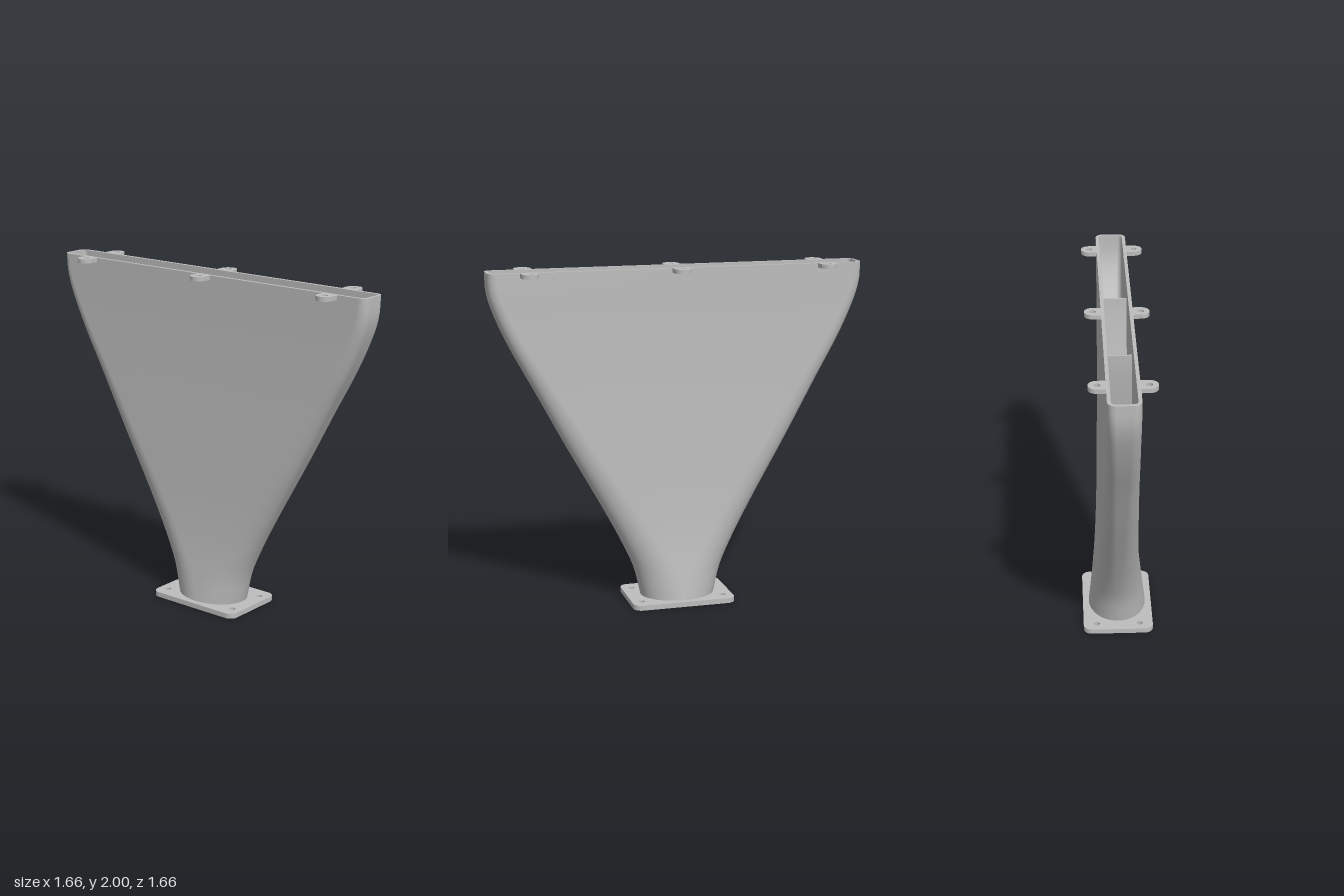
import * as THREE from 'three';
import { toCreasedNormals } from 'three/addons/utils/BufferGeometryUtils.js';

const WALL = 0.02;
const BASE_U = 0.223, BASE_V = 0.174; // half axes of the oval base opening

// Skin a stack of closed rings of equal length; optional flat end caps
function loft(rings, capped = false) {
  const n = rings[0].length, index = [];
  const positions = rings.flat().flatMap((p) => [p.x, p.y, p.z]);
  for (let i = 0; i < rings.length - 1; i++) {
    for (let j = 0; j < n; j++) {
      const a = i * n + j, b = i * n + (j + 1) % n;
      index.push(a, a + n, b, b, a + n, b + n);
    }
  }
  if (capped) {
    const top = (rings.length - 1) * n;
    for (let j = 1; j < n - 1; j++) {
      index.push(0, j, j + 1, top, top + j + 1, top + j);
    }
  }
  const geometry = new THREE.BufferGeometry();
  geometry.setAttribute('position', new THREE.Float32BufferAttribute(positions, 3));
  geometry.setIndex(index);
  geometry.computeVertexNormals();
  return geometry;
}

// Rectangle ring with oval corners: half sizes u and v, corner radii ru and rv
function roundedRing(u, v, ru, rv, y) {
  const points = [], arc = 10;
  const corners = [[1, 1], [-1, 1], [-1, -1], [1, -1]];
  corners.forEach(([sx, sz], q) => {
    for (let k = 0; k <= arc; k++) {
      const a = (q + k / arc) * Math.PI / 2;
      points.push(new THREE.Vector3(sx * (u - ru) + ru * Math.cos(a), y, sz * (v - rv) + rv * Math.sin(a)));
    }
    // Extra points along the long sides
    if (q % 2 === 0) {
      for (let k = 1; k < 6; k++) {
        points.push(new THREE.Vector3(sx * (u - ru) * (1 - k / 3), y, sz * v));
      }
    }
  });
  return points;
}

// Flat plate from a shape, laid horizontally with its top at the given height
function plate(shape, depth, top) {
  const geometry = new THREE.ExtrudeGeometry(shape, { depth, bevelEnabled: false, curveSegments: 20 });
  return geometry.rotateX(Math.PI / 2).translate(0, top, 0);
}

function hole(shape, x, y, rx, ry = rx) {
  shape.holes.push(new THREE.Path().absellipse(x, y, rx, ry, 0, Math.PI * 2, true));
}

export function createModel() {
  const model = new THREE.Group();
  model.name = 'flatFunnel';
  model.rotation.y = -Math.PI / 4;
  const grey = new THREE.MeshStandardMaterial({ color: 0xbdbdbd });
  grey.name = 'grey';

  const add = (name, geometry) => {
    const mesh = new THREE.Mesh(geometry, grey);
    mesh.name = name;
    model.add(mesh);
    return mesh;
  };

  // Funnel sections: half length, height, half width
  const rows = new THREE.CatmullRomCurve3([
    [BASE_U, 0.03, BASE_V], [0.265, 0.2, 0.152], [0.345, 0.38, 0.132], [0.46, 0.6, 0.117],
    [0.67, 0.98, 0.104], [0.84, 1.3, 0.096], [0.975, 1.55, 0.092], [1.045, 1.7, 0.09],
    [1.09, 1.82, 0.09], [1.107, 1.9, 0.09], [1.11, 2, 0.09],
  ].map((p) => new THREE.Vector3(...p))).getSpacedPoints(48);

  const section = (p, inset) => {
    const t = (p.y - 0.03) / 1.97;
    const ru = THREE.MathUtils.lerp(BASE_U, 0.045, t);
    const rv = p.z * (1 - 0.5 * t);
    return roundedRing(p.x - inset, p.z - inset, ru - inset, rv - inset, p.y);
  };
  const outer = rows.map((p) => section(p, 0));
  const inner = rows.map((p) => section(p, WALL)).reverse();
  add('outerWall', loft(outer));
  add('innerWall', loft(inner));
  add('rim', loft([outer[outer.length - 1], inner[0]]));

  // Two dividing vanes fanning out inside the funnel
  const vaneRows = [new THREE.Vector3(BASE_U, 0.002, BASE_V), ...rows.filter((p) => p.y < 1.94)];
  for (const side of [-1, 1]) {
    const rings = vaneRows.map((p) => {
      const u = side * (p.x * 0.34 - 0.01), w = p.z - 0.014, h = 0.006;
      return [[h, -w], [h, w], [-h, w], [-h, -w]].map(([x, z]) => new THREE.Vector3(u + x, p.y, z));
    });
    add(side < 0 ? 'rightVane' : 'leftVane', toCreasedNormals(loft(rings, true), 0.6));
  }

  // Base flange with the oval opening and four bolt holes
  const U = 0.31, V = 0.21, R = 0.05;
  const flange = new THREE.Shape();
  flange.absarc(U - R, V - R, R, 0, Math.PI / 2);
  flange.absarc(R - U, V - R, R, Math.PI / 2, Math.PI);
  flange.absarc(R - U, R - V, R, Math.PI, Math.PI * 1.5);
  flange.absarc(U - R, R - V, R, Math.PI * 1.5, Math.PI * 2);
  hole(flange, 0, 0, BASE_U - WALL, BASE_V - WALL);
  for (const x of [-0.25, 0.25]) for (const y of [-0.13, 0.13]) hole(flange, x, y, 0.018);
  add('baseFlange', plate(flange, 0.03, 0.03));

  // Mounting tabs along both long sides of the rim
  const tab = new THREE.Shape();
  tab.moveTo(-0.049, 0.086);
  tab.lineTo(0.049, 0.086);
  tab.absarc(0, 0.135, 0.049, 0, Math.PI);
  hole(tab, 0, 0.135, 0.018);
  const tabGeometry = plate(tab, 0.025, 2);
  for (const turn of [0, Math.PI]) {
    for (const u of [-0.88, 0, 0.88]) {
      const mesh = add('mountingTab', tabGeometry);
      mesh.position.x = u;
      mesh.rotation.y = turn;
    }
  }

  const root = new THREE.Group();
  root.name = 'funnel';
  root.add(model);
  return root;
}
